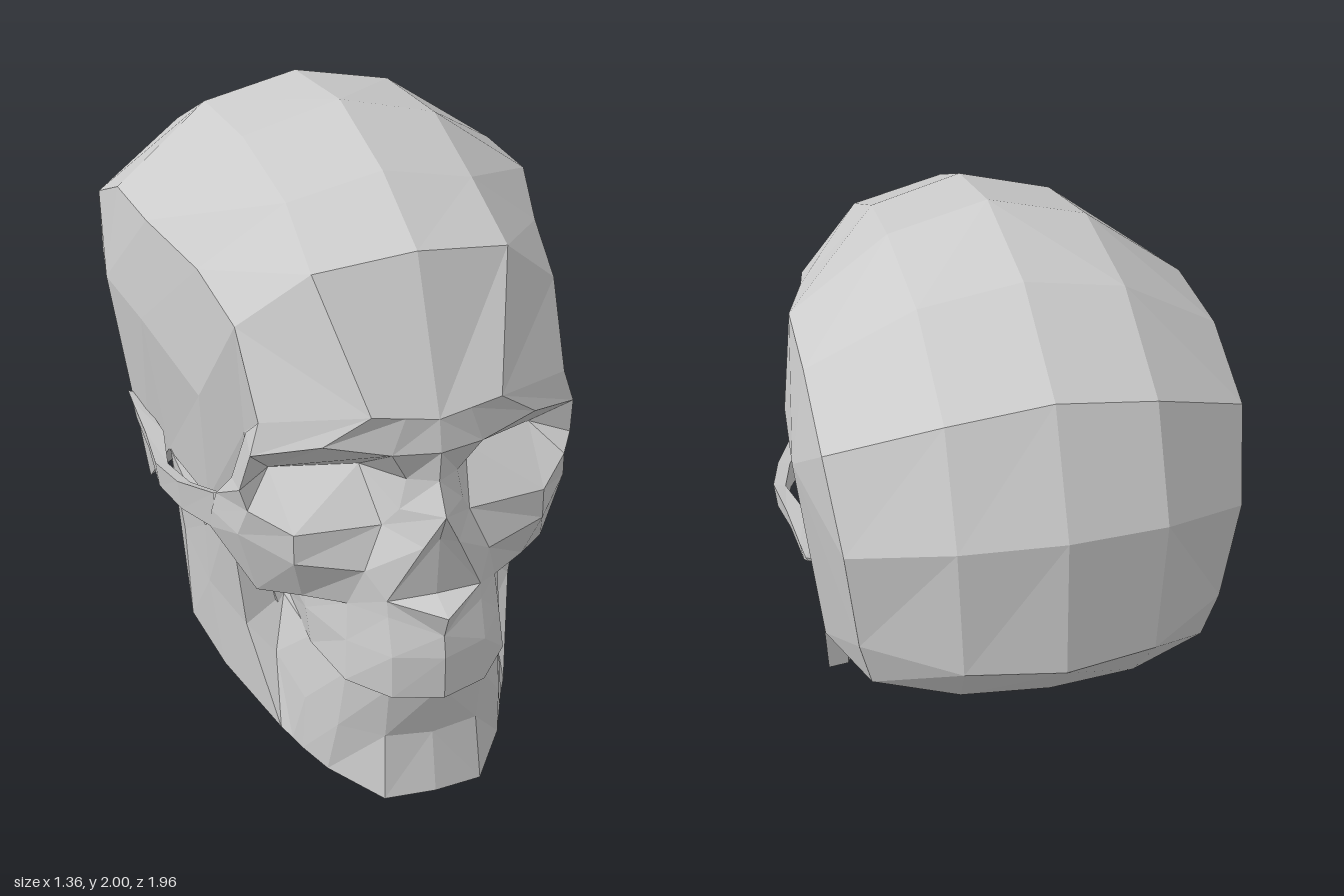
import * as THREE from 'three';

const bone = new THREE.MeshStandardMaterial({ color: 0xcccccc, flatShading: true, side: THREE.DoubleSide });

// Faceted mesh from rows of points, each quad mirrored across x = 0.
// closed: join the last point of each row to its first; cap: fill the final row.
function patch(name, rows, { closed = false, cap = false } = {}) {
  const pos = [];
  const tri = (a, b, c) => {
    pos.push(...a, ...b, ...c);
    for (const [x, y, z] of [a, c, b]) pos.push(-x, y, z);
  };
  for (let i = 0; i < rows.length - 1; i++) {
    const n = rows[i].length;
    for (let j = 0; j < (closed ? n : n - 1); j++) {
      const k = (j + 1) % n;
      const a = rows[i][j], b = rows[i][k], c = rows[i + 1][k], d = rows[i + 1][j];
      tri(a, d, c);
      tri(a, c, b);
    }
  }
  if (cap) {
    const end = rows[rows.length - 1];
    for (let j = 1; j < end.length - 1; j++) tri(end[0], end[j], end[j + 1]);
  }
  const g = new THREE.BufferGeometry();
  g.setAttribute('position', new THREE.Float32BufferAttribute(pos, 3));
  g.computeVertexNormals();
  const mesh = new THREE.Mesh(g, bone);
  mesh.name = name;
  return mesh;
}

export function createModel() {
  const skull = new THREE.Group();
  skull.name = 'skull';
  const add = (...args) => skull.add(patch(...args));

  // Braincase vault: midline, paramedian and temporal-line points from brow to nape
  const vault = [
    [[0, 1.35, .87], [.2, 1.38, .85], [.48, 1.32, .67]],
    [[0, 1.79, .67], [.3, 1.74, .62], [.5, 1.56, .52]],
    [[0, 1.92, .38], [.29, 1.85, .36], [.54, 1.64, .28]],
    [[0, 2, 0], [.31, 1.92, 0], [.62, 1.69, 0]],
    [[0, 1.94, -.44], [.31, 1.88, -.42], [.63, 1.67, -.32]],
    [[0, 1.74, -.8], [.31, 1.69, -.77], [.63, 1.54, -.6]],
    [[0, 1.38, -.97], [.31, 1.36, -.92], [.6, 1.27, -.73]],
    [[0, .94, -.98], [.29, .93, -.91], [.56, .93, -.7]],
    [[0, .75, -.8], [.27, .75, -.77], [.52, .77, -.67]],
    [[0, .63, -.54], [.27, .63, -.52], [.59, .65, -.23]],
  ];
  add('cranialVault', vault);

  // Temples: from the temporal line down to the widest line and the skull base
  const rim = vault.map(r => r[2]);
  const widest = [.68, 1.36, -.33], mastoid = rim[9];
  const mid = [[.5, 1.1, .56], [.47, 1.19, .49], [.56, 1.24, .32], [.65, 1.36, 0], widest, widest, widest];
  const low = [[.46, .88, .47], [.42, .88, .45], [.53, .85, .28], [.58, .88, 0], mastoid, rim[7]];
  add('temple', [rim.slice(0, 7), mid]);
  add('lowerTemple', [[...mid.slice(0, 5), rim[6]], low]);
  add('mastoid', [[rim[7], rim[8]], [mastoid, mastoid]]);
  add('skullBase', [
    vault[9],
    [[0, .7, -.15], [.3, .7, -.15], low[3]],
    [[0, .77, .2], [.25, .77, .2], low[2]],
    [[0, .82, .45], [.25, .82, .45], low[1]],
  ]);

  // Eye socket rim, from the nose bridge over the brow and around to the nose
  const eye = [
    [.08, 1.14, .82], [.14, 1.25, .86], [.33, 1.28, .8], [.51, 1.22, .68], [.53, 1.08, .63],
    [.51, 1.01, .64], [.4, .96, .74], [.14, .97, .78], [.1, 1.04, .82],
  ];
  const socketInner = [.17, 1.12, .66], socketOuter = [.42, 1.1, .56];
  add('eyeSocket', [eye, eye.map(p => (p[0] < .2 ? socketInner : socketOuter))], { closed: true });
  const glabella = [0, 1.25, .89];
  add('brow', [
    [vault[0][0], [.1, 1.365, .86], vault[0][1], rim[0]],
    [glabella, eye[1], eye[2], eye[3]],
  ]);

  // Nose: bridge, opening and the spine below it
  const noseTip = [0, 1.06, .94], noseCorner = [.15, .75, .86], noseFloor = [0, .76, .88];
  const lip = [0, .65, .95], lipCorner = [.15, .7, .87];
  add('noseBridge', [[glabella, eye[1]], [[0, 1.15, .88], eye[0]], [noseTip, eye[8]]]);
  add('noseOpening', [[noseTip, noseTip], [[0, .96, .895], [.055, .95, .91]], [noseFloor, noseCorner]]);
  add('noseSide', [[noseTip, eye[8]], [[.055, .95, .91], eye[7]], [noseCorner, [.2, .83, .8]]]);
  add('noseSpine', [[noseFloor, noseCorner], [[0, .73, .98], [0, .73, .98]], [lip, noseCorner]]);

  // Cheekbone: front face, outer side and underside
  const cheekMid = [[.2, .83, .8], [.4, .86, .74], [.53, .91, .6]];
  const cheekLow = [[.24, .7, .76], [.36, .71, .69], [.47, .69, .585]];
  const archRoot = [.57, .85, .44];
  add('cheek', [[eye[7], eye[6], eye[5]], cheekMid, cheekLow]);
  add('cheekInner', [[noseCorner, cheekMid[0]], [lipCorner, cheekLow[0]]]);
  add('cheekSide', [
    [rim[0], eye[3], eye[4], eye[5], cheekMid[2], cheekLow[2]],
    [rim[0], [.5, 1.26, .61], [.53, 1.08, .55], [.56, .99, .48], [.57, .92, .46], archRoot],
  ]);
  add('cheekUnderside', [
    [...cheekLow, archRoot],
    [cheekLow[0], [.32, .7, .58], [.32, .75, .5], [.32, .8, .4]],
  ]);
  add('cheekBack', [[[.32, .8, .4], archRoot], [[.3, .95, .42], low[0]]]);

  // Cheek arch sweeping back and tapering to the ear
  const archSection = (z, xo, xi, top, bottom) =>
    [[xo, top, z], [xo - .01, bottom, z], [xi, bottom, z], [xi, top - .01, z]];
  add('cheekArch', [
    archSection(.47, .565, .53, .985, .85),
    archSection(.33, .64, .6, .96, .86),
    archSection(.2, .675, .635, .96, .875),
    archSection(.02, .66, .6, .97, .905),
    archSection(-.18, .65, .61, .97, .91),
    archSection(-.26, .645, .62, .97, .955),
  ], { closed: true, cap: true });

  // Upper jaw: outer wall, upper teeth, inner wall and palate
  add('upperJaw', [
    [lip, lipCorner, cheekLow[0], [.32, .7, .58], [.32, .8, .4]],
    [[0, .58, .965], [.15, .58, .91], [.25, .58, .78], [.32, .6, .6], [.33, .64, .4]],
    [[0, .435, .965], [.15, .435, .915], [.26, .45, .8], [.31, .48, .62], [.31, .52, .4]],
    [[0, .46, .86], [.11, .46, .82], [.2, .47, .72], [.25, .5, .58], [.25, .54, .4]],
    [[0, .6, .7], [0, .6, .65], [0, .6, .6], [0, .6, .5], [0, .6, .4]],
  ]);
  add('upperJawCorner', [[lip, lip], [noseCorner, lipCorner]]);
  add('upperJawBack', [[[0, .82, .42], [.32, .8, .4]], [[0, .6, .4], [.31, .52, .4]]]);

  // Lower jaw: sections run outer top, middle, bottom, then inner bottom, middle, top
  const jawBody = [
    [[0, .45, .935], [0, .24, .875], [0, .04, .915], [0, 0, .8], [0, .24, .75], [0, .45, .85]],
    [[.15, .45, .89], [.15, .25, .86], [.16, .03, .89], [.14, .01, .78], [.13, .25, .73], [.12, .45, .81]],
    [[.25, .46, .78], [.27, .25, .76], [.29, .055, .72], [.23, .05, .66], [.2, .25, .66], [.2, .46, .71]],
    [[.3, .49, .6], [.33, .27, .62], [.34, .075, .62], [.27, .075, .58], [.26, .28, .54], [.25, .49, .56]],
    [[.33, .53, .41], [.37, .34, .45], [.36, .09, .58], [.29, .09, .53], [.31, .36, .42], [.28, .53, .41]],
  ];
  const jawBranch = [
    [[.5, .86, .4], [.45, .43, .395], [.385, .11, .54], [.31, .11, .5], [.37, .45, .38], [.45, .86, .39]],
    [[.53, .72, .23], [.52, .5, .22], [.49, .2, .27], [.42, .2, .27], [.45, .5, .22], [.48, .72, .23]],
    [[.58, .89, .02], [.55, .6, .05], [.54, .28, .07], [.47, .28, .08], [.48, .6, .06], [.5, .89, .03]],
  ];
  add('lowerJaw', [...jawBody, ...jawBranch], { closed: true, cap: true });

  return skull;
}
